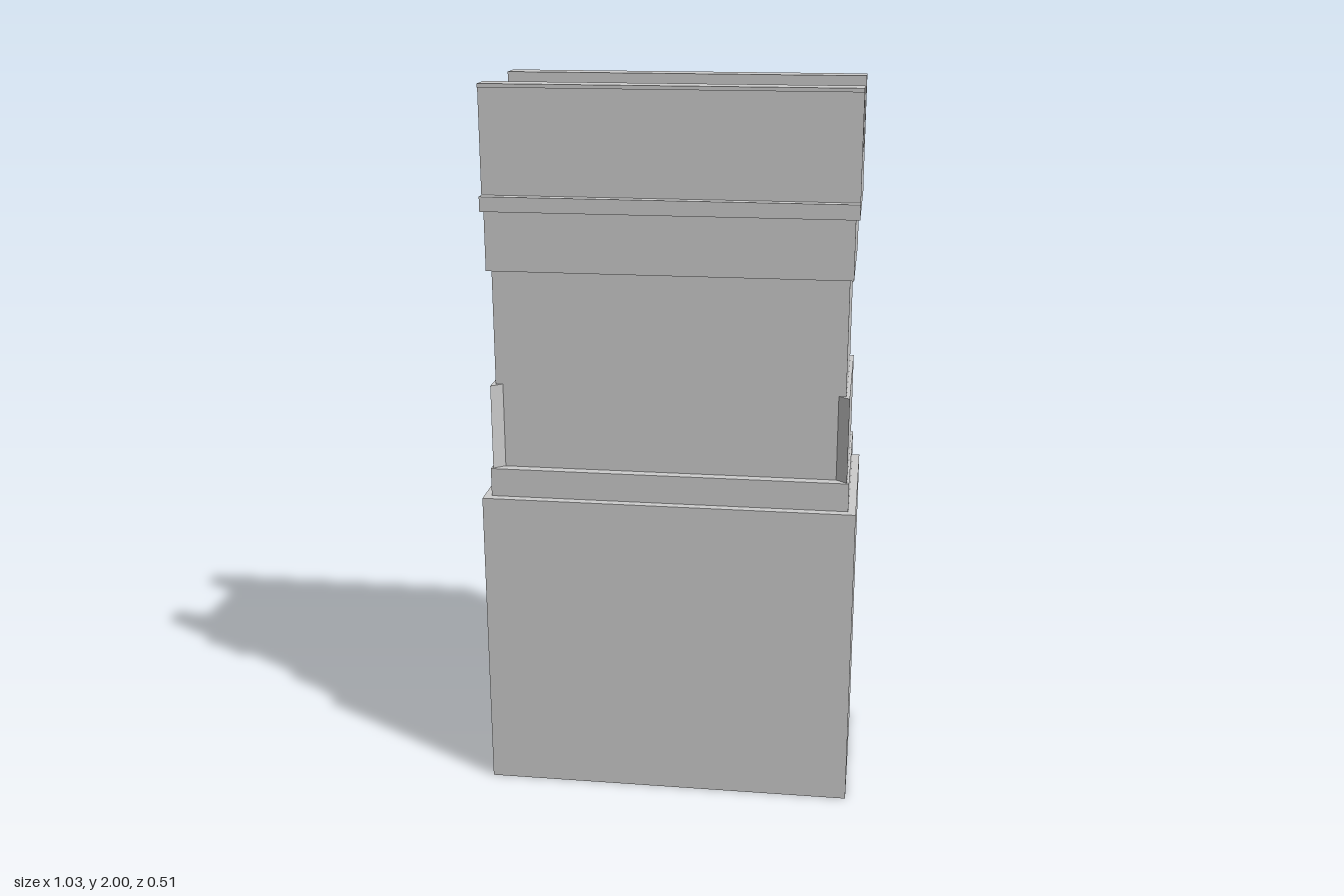
import * as THREE from 'three';

export function createModel() {
  const group = new THREE.Group();
  const mat = new THREE.MeshStandardMaterial({ color: 0xcccccc, flatShading: true, side: THREE.DoubleSide });

  const add = (name, geometry) => {
    const mesh = new THREE.Mesh(geometry, mat);
    mesh.name = name;
    group.add(mesh);
    return mesh;
  };

  // Box given by half width, half depth, bottom and top height
  const tier = (name, hx, hz, y0, y1) => {
    const geometry = new THREE.BoxGeometry(hx * 2, y1 - y0, hz * 2);
    geometry.translate(0, (y0 + y1) / 2, 0);
    return add(name, geometry);
  };

  const polygon = (points) => new THREE.Shape(points.map(([x, y]) => new THREE.Vector2(x, y)));

  // Hollow base, open underneath (the bottom face is left out)
  const base = tier('base', 0.517, 0.257, 0, 0.872).geometry;
  const index = Array.from(base.index.array);
  index.splice(18, 6);
  base.setIndex(index);
  base.clearGroups();

  // Stacked tiers of the pier
  tier('baseMoulding', 0.496, 0.232, 0.872, 0.952);
  tier('shaft', 0.48, 0.204, 0.952, 1.51);
  tier('neckBand', 0.49, 0.227, 1.51, 1.67);
  tier('capLedge', 0.5, 0.232, 1.67, 1.71);

  // End panels whose edges slope back into the shaft
  for (const side of [1, -1]) {
    const plan = polygon([
      [0.46, -0.204], [0.49, -0.227], [0.49, 0.227], [0.46, 0.204],
    ].map(([x, z]) => [side * x, z]));
    const panel = new THREE.ExtrudeGeometry(plan, { depth: 1.19 - 0.952, bevelEnabled: false });
    panel.rotateX(-Math.PI / 2);
    panel.translate(0, 0.952, 0);
    add(side > 0 ? 'leftEndPanel' : 'rightEndPanel', panel);
  }

  // Channelled top with a slight lip along both rims
  const half = [[0.204, 1.71], [0.204, 1.99], [0.208, 1.99], [0.208, 2], [0.14, 2], [0.14, 1.83]];
  const section = polygon([...half, ...half.map(([z, y]) => [-z, y]).reverse()]);
  const channel = new THREE.ExtrudeGeometry(section, { depth: 1, bevelEnabled: false });
  channel.translate(0, 0, -0.5);
  channel.rotateY(Math.PI / 2);
  add('channelTop', channel);

  return group;
}
